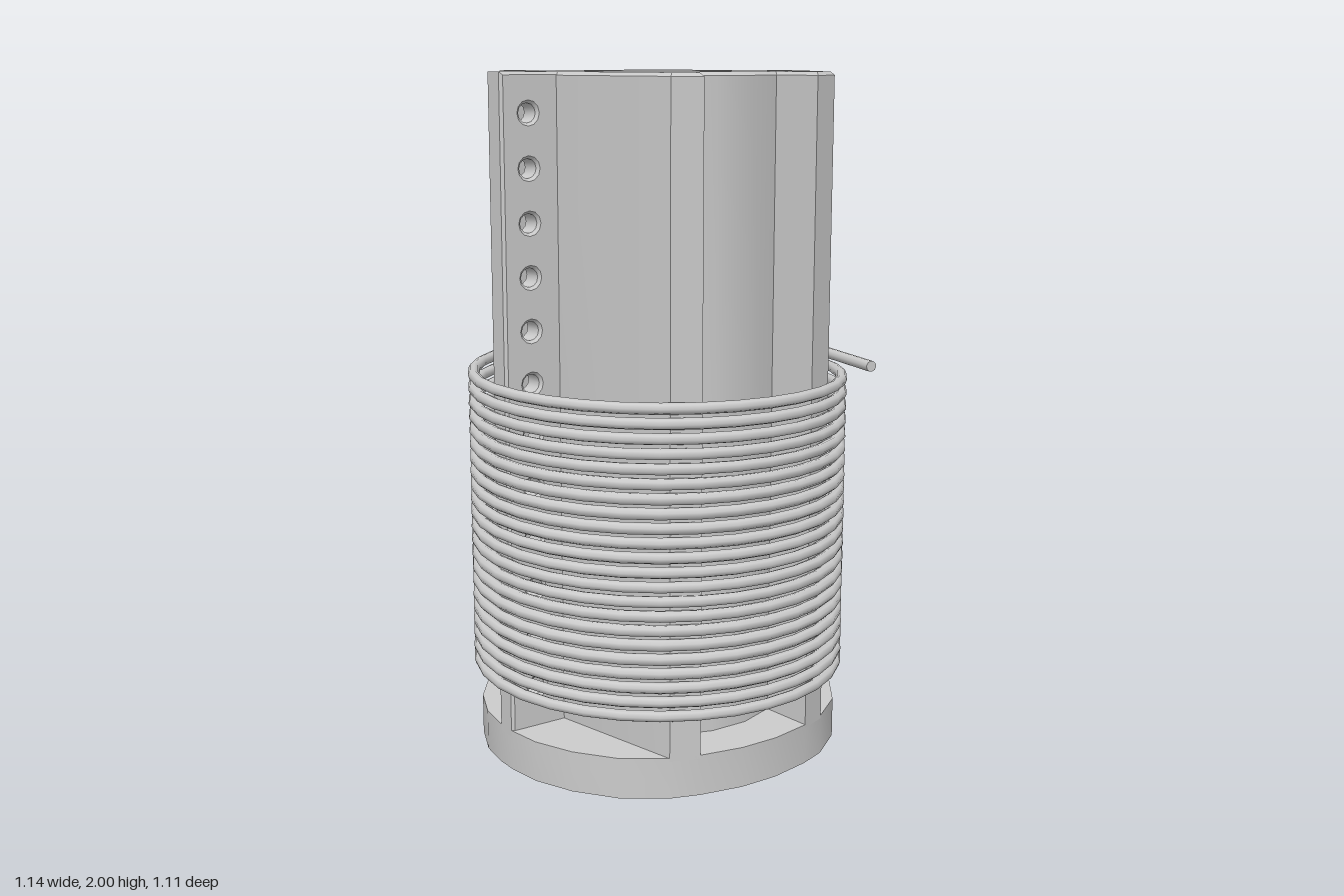
import * as THREE from 'three';
import { toCreasedNormals } from 'three/addons/utils/BufferGeometryUtils.js';

const material = new THREE.MeshStandardMaterial({ color: 0xcccccc });

// Full outline from the points of one quarter, mirrored in both axes
function mirroredOutline(quarter) {
  const back = [...quarter].reverse();
  const points = [
    ...quarter,
    ...back.map(([x, y]) => [-x, y]),
    ...quarter.map(([x, y]) => [-x, -y]),
    ...back.map(([x, y]) => [x, -y]),
  ];
  return points.map(([x, y]) => new THREE.Vector2(x, y));
}

function circlePath(x, y, radius) {
  return new THREE.Path().absarc(x, y, radius, 0, Math.PI * 2, true);
}

function hexPath(radius) {
  const points = [];
  for (let i = 0; i < 6; i++) {
    const a = -i * Math.PI / 3;
    points.push(new THREE.Vector2(radius * Math.cos(a), radius * Math.sin(a)));
  }
  return new THREE.Path(points);
}

// Extrude a plan shape upward between two heights, with optional bevel
function upright(shape, y0, y1, bevel = 0) {
  const geometry = new THREE.ExtrudeGeometry(shape, {
    depth: y1 - y0 - 2 * bevel, curveSegments: 9, bevelEnabled: bevel > 0,
    bevelThickness: bevel, bevelSize: bevel, bevelOffset: -bevel, bevelSegments: 1,
  });
  geometry.rotateX(-Math.PI / 2).translate(0, y0 + bevel, 0);
  return toCreasedNormals(geometry, 0.5);
}

// Capped straight piece of wire
function rod(a, b, radius) {
  const direction = b.clone().sub(a);
  const geometry = new THREE.CylinderGeometry(radius, radius, direction.length(), 10);
  geometry.applyQuaternion(new THREE.Quaternion().setFromUnitVectors(
    new THREE.Vector3(0, 1, 0), direction.normalize()));
  const mid = a.clone().add(b).multiplyScalar(0.5);
  return geometry.translate(mid.x, mid.y, mid.z);
}

class Helix extends THREE.Curve {
  constructor(rx, rz, y0, y1, turns) {
    super();
    Object.assign(this, { rx, rz, y0, y1, turns });
  }
  getPoint(t, target = new THREE.Vector3()) {
    const a = t * this.turns * Math.PI * 2;
    return target.set(this.rx * Math.cos(a), this.y0 + (this.y1 - this.y0) * t, this.rz * Math.sin(a));
  }
}

export function createModel() {
  const model = new THREE.Group();
  const add = (name, geometry, parent = model) => {
    const mesh = new THREE.Mesh(geometry, material);
    mesh.name = name;
    parent.add(mesh);
    return mesh;
  };

  // Round base flange with a shallow recess underneath
  const flange = new THREE.Shape(mirroredOutline([
    [0.54, 0.037], [0.525, 0.14], [0.475, 0.26], [0.39, 0.375],
    [0.275, 0.455], [0.19, 0.485], [0.06, 0.51],
  ]));
  flange.holes.push(circlePath(0, 0, 0.2));
  add('baseFlange', upright(flange, 0, 0.12));

  // Floor of the bore, with a hexagonal pocket
  const floor = new THREE.Shape().absarc(0, 0, 0.204, 0, Math.PI * 2);
  add('boreFloor', upright(floor, 0.03, 0.08));
  const pocket = floor.clone();
  pocket.holes.push(hexPath(0.14));
  add('hexPocket', upright(pocket, 0.08, 0.125));

  // Central column with front and back channels and a round bore
  const column = new THREE.Shape(mirroredOutline([
    [0.365, 0.037], [0.275, 0.455], [0.19, 0.485], [0.175, 0.325], [0.06, 0.365],
  ]));
  column.holes.push(circlePath(0, 0, 0.203));
  add('column', upright(column, 0.1, 2, 0.01));

  // Side fins, each with a row of through holes
  const bevel = 0.008;
  for (const side of [1, -1]) {
    const x0 = side > 0 ? 0.34 : -0.54;
    const fin = new THREE.Shape([[x0, 0.1], [x0 + 0.2, 0.1], [x0 + 0.2, 2], [x0, 2]]
      .map(([x, y]) => new THREE.Vector2(x, y)));
    for (let i = 0; i < 12; i++) fin.holes.push(circlePath(side * 0.455, 0.24 + i * 0.15, 0.027));
    const geometry = new THREE.ExtrudeGeometry(fin, {
      depth: 0.076 - 2 * bevel, curveSegments: 6, bevelEnabled: true, bevelSegments: 1,
      bevelSize: bevel, bevelThickness: bevel, bevelOffset: -bevel,
    });
    geometry.translate(0, 0, -0.038 + bevel);
    add(side > 0 ? 'leftFin' : 'rightFin', toCreasedNormals(geometry, 0.6));
  }

  // Coiled wire with a straight free end at the top
  const coil = new THREE.Group();
  coil.name = 'coil';
  model.add(coil);
  const wire = 0.0165;
  const helix = new Helix(0.552, 0.538, 0.236, 1.15, 22);
  helix.arcLengthDivisions = 1500;
  add('windings', new THREE.TubeGeometry(helix, 22 * 32, wire, 8), coil);
  add('wireStart', rod(new THREE.Vector3(0.552, 0.236, -0.005), new THREE.Vector3(0.552, 0.236, 0.01), wire), coil);
  add('wireTail', rod(new THREE.Vector3(0.553, 1.15, -0.01), new THREE.Vector3(0.475, 1.15, 0.415), wire), coil);

  return model;
}
